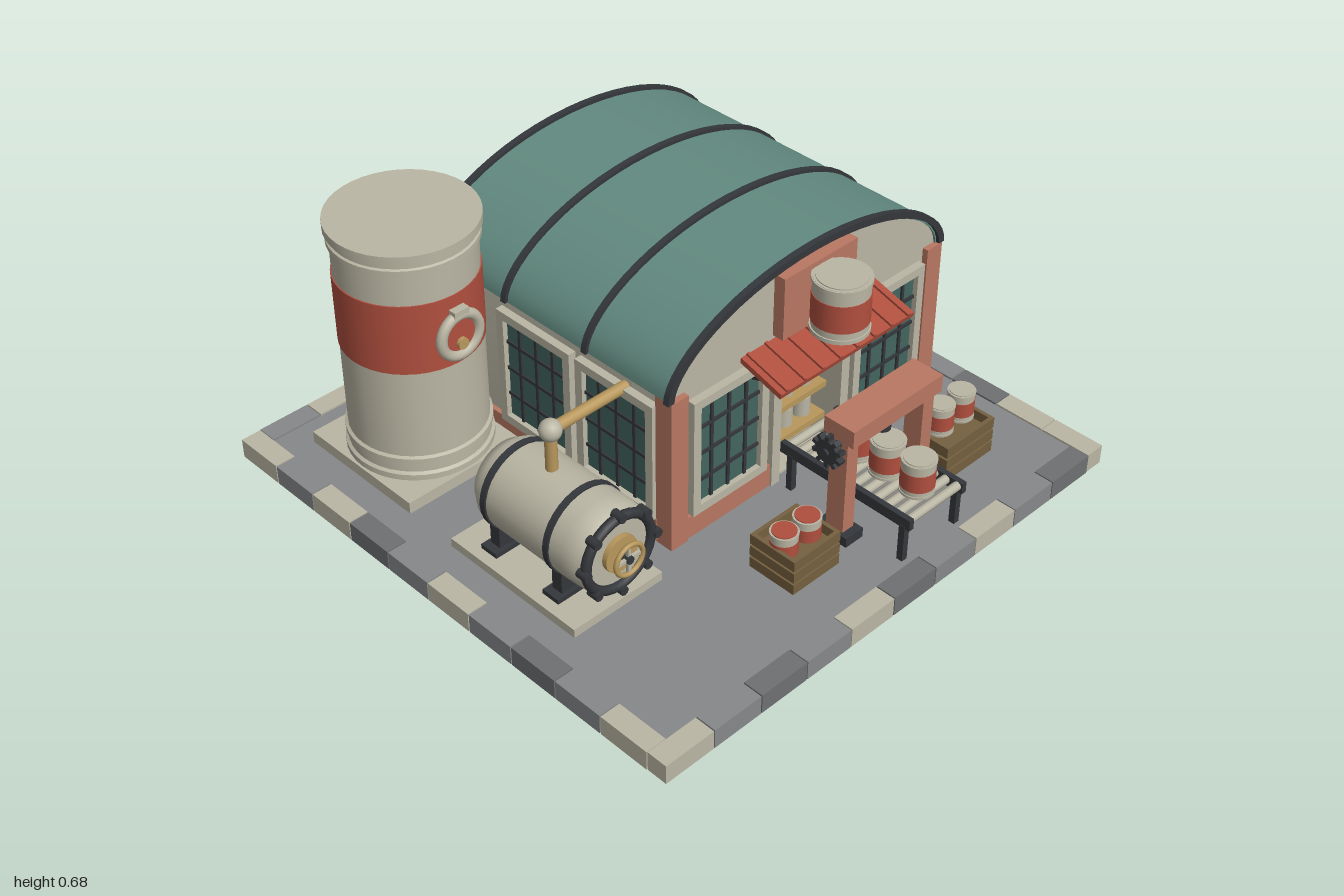
import * as THREE from 'three';
import { toCreasedNormals } from 'three/addons/utils/BufferGeometryUtils.js';

const mat = (name, color, side = THREE.FrontSide) => {
  const m = new THREE.MeshStandardMaterial({ color, side });
  m.name = name;
  return m;
};

export function createModel() {
  const cream = mat('cream', 0xbab6a4), teal = mat('teal', 0x628a80), red = mat('red', 0xb04f3e),
    brick = mat('brick', 0xb87862), dark = mat('iron', 0x34373b), wood = mat('dark wood', 0x75603f),
    tan = mat('tan', 0xb8975c), gray = mat('paving gray', 0x868889), slate = mat('dark stone', 0x6e7071),
    glass = mat('glass', 0x42645f);

  const model = new THREE.Group();
  model.name = 'factory';
  const site = new THREE.Group(); // everything is built square, then turned 45 degrees
  site.name = 'site';
  site.rotation.y = Math.PI / 4;
  model.add(site);

  const group = (name, x = 0, y = 0, z = 0, ry = 0, parent = site) => {
    const g = new THREE.Group();
    g.name = name;
    g.position.set(x, y, z);
    g.rotation.y = ry;
    parent.add(g);
    return g;
  };
  const add = (parent, name, geo, m, x = 0, y = 0, z = 0) => {
    const mesh = new THREE.Mesh(geo, m);
    mesh.name = name;
    mesh.position.set(x, y, z);
    parent.add(mesh);
    return mesh;
  };
  const box = (p, name, m, w, h, d, x, y, z) => add(p, name, new THREE.BoxGeometry(w, h, d), m, x, y, z);
  const cyl = (p, name, m, r, h, x, y, z, seg = 24) => add(p, name, new THREE.CylinderGeometry(r, r, h, seg), m, x, y, z);
  const lathe = (pts, seg) => toCreasedNormals(
    new THREE.LatheGeometry(pts.map(([r, y]) => new THREE.Vector2(r, y)), seg), 0.6);

  // Paved base with a stone border
  box(site, 'floor', gray, 1.32, 0.045, 1.32, 0, 0.0225, 0);
  for (let s = 0; s < 4; s++) {
    const side = group('border', 0, 0, 0, s * Math.PI / 2);
    const n = 10, L = 1.414 - 0.052;
    for (let i = 0; i < n; i++) {
      const m = [cream, gray, slate, gray, cream, slate, gray][(i + s * 3 * (i > 0 ? 1 : 0)) % 7];
      box(side, 'borderStone', m, L / n - 0.003, 0.05, 0.052, -0.707 + (i + 0.5) * L / n, 0.025, 0.681);
    }
  }

  // Hall: barrel-vaulted body with a recessed doorway
  const CX = 0.177, SPRING = 0.45;
  const arch = (hw, rise, n = 28) => Array.from({ length: n + 1 }, (_, i) => {
    const a = i / n * Math.PI;
    return new THREE.Vector2(hw * Math.cos(a), SPRING + rise * Math.pow(Math.max(0, Math.sin(a)), 1.1));
  });
  const extrude = (shape, depth, crease = 0.4) =>
    toCreasedNormals(new THREE.ExtrudeGeometry(shape, { depth, bevelEnabled: false }), crease);
  const gable = () => new THREE.Shape([new THREE.Vector2(-0.425, 0.045), new THREE.Vector2(0.425, 0.045), ...arch(0.425, 0.183)]);
  const band = (hw, rise, t) => new THREE.Shape([...arch(hw, rise), ...arch(hw - t, rise - t).reverse()]);
  const hall = group('hall', CX, 0, 0);
  add(hall, 'hallBody', extrude(gable(), 0.65), cream, 0, 0, -0.515);
  const front = gable();
  front.holes.push(new THREE.Path([[-0.1, 0.05], [-0.1, 0.39], [0.1, 0.39], [0.1, 0.05]].map(p => new THREE.Vector2(...p))));
  add(hall, 'frontWall', extrude(front, 0.115), cream, 0, 0, 0.135);
  add(hall, 'roof', extrude(band(0.436, 0.193, 0.014), 0.775), teal, 0, 0, -0.52);
  for (const z of [-0.53, -0.267, -0.004, 0.25])
    add(hall, 'roofRib', extrude(band(0.444, 0.202, 0.018), 0.016), dark, 0, 0, z - 0.002);

  // Brick corners and plinths
  for (const [x, z] of [[-0.41, 0.24], [0.41, 0.24], [-0.41, -0.5]])
    box(hall, 'cornerPier', brick, 0.05, 0.405, 0.05, x, 0.2475, z);
  for (const x of [-0.255, 0.255]) box(hall, 'frontPlinth', brick, 0.27, 0.06, 0.025, x, 0.08, 0.252);
  box(hall, 'sidePlinth', brick, 0.02, 0.06, 0.7, -0.427, 0.08, -0.13);

  // Paned windows
  const window_ = (x, z, ry, w = 0.21) => {
    const g = group('window', x, 0.265, z, ry, hall), h = 0.29;
    box(g, 'glass', glass, w, h, 0.008, 0, 0, 0.003);
    for (const s of [-1, 1]) {
      box(g, 'frameSide', cream, 0.022, h + 0.02, 0.024, s * w / 2, 0, 0.008);
      box(g, 'frameRail', cream, w + 0.022, 0.022, 0.024, 0, s * h / 2, 0.008);
    }
    for (const i of [-1, 0, 1]) box(g, 'mullion', dark, 0.008, h, 0.008, i * w / 4, 0, 0.008);
    for (const i of [-1, 0, 1]) box(g, 'glazingBar', dark, w, 0.008, 0.008, 0, i * h / 4, 0.008);
  };
  window_(-0.257, 0.25, 0);
  window_(0.257, 0.25, 0);
  window_(-0.425, 0.095, -Math.PI / 2, 0.22);
  window_(-0.425, -0.165, -Math.PI / 2, 0.22);

  // Doorway with stocked shelves
  box(hall, 'doorBack', wood, 0.2, 0.34, 0.008, 0, 0.22, 0.14);
  for (const s of [-1, 1]) box(hall, 'doorJamb', cream, 0.026, 0.36, 0.03, s * 0.112, 0.23, 0.255);
  box(hall, 'doorLintel', cream, 0.25, 0.026, 0.03, 0, 0.402, 0.255);
  for (const y of [0.11, 0.2, 0.29]) {
    box(hall, 'shelf', tan, 0.2, 0.016, 0.08, 0, y, 0.185);
    for (const x of [-0.06, 0, 0.06]) cyl(hall, 'shelfTin', cream, 0.023, 0.05, x, y + 0.033, 0.185, 14);
  }

  // Awning, sign board and tin
  const awning = group('awning', 0, 0.428, 0.31, 0, hall);
  awning.rotation.x = 0.28;
  box(awning, 'awningSheet', red, 0.43, 0.014, 0.125, 0, 0, 0);
  for (let i = 0; i < 8; i++) box(awning, 'awningSeam', red, 0.008, 0.008, 0.125, -0.196 + i * 0.056, 0.009, 0);
  for (const s of [-1, 1]) {
    const strut = box(hall, 'awningBracket', dark, 0.01, 0.01, 0.11, s * 0.18, 0.4, 0.295);
    strut.rotation.x = -0.35;
  }
  box(hall, 'signBoard', brick, 0.23, 0.16, 0.03, 0, 0.54, 0.265);

  // Banded tin, standing on y = 0 of its group
  const can = (parent, x, y, z, r, h, lid = cream) => {
    const g = group('tin', x, y, z, 0, parent);
    cyl(g, 'tinBody', cream, r * 0.95, h * 0.96, 0, h / 2, 0);
    cyl(g, 'tinLabel', red, r * 0.98, h * 0.5, 0, h * 0.45, 0);
    for (const k of [0.04, 0.94]) cyl(g, 'tinRim', cream, r, h * 0.07, 0, h * k, 0);
    cyl(g, 'tinLid', lid, r * 0.86, 0.004, 0, h * 0.985, 0);
  };
  can(hall, 0, 0.47, 0.34, 0.068, 0.14);

  // Tall storage tank
  const tank = group('storageTank', -0.41, 0, -0.41);
  box(tank, 'tankPad', cream, 0.355, 0.03, 0.355, 0, 0.06, 0);
  add(tank, 'tankBody', lathe([[0, 0.07], [0.172, 0.07], [0.172, 0.09], [0.165, 0.095], [0.165, 0.12], [0.17, 0.122],
    [0.17, 0.134], [0.163, 0.138], [0.163, 0.63], [0.17, 0.632], [0.17, 0.645], [0.165, 0.648], [0.165, 0.66],
    [0.174, 0.662], [0.174, 0.684], [0, 0.684]], 40), cream);
  cyl(tank, 'tankBand', red, 0.166, 0.18, 0, 0.46, 0, 40);
  const badge = group('gauge', 0, 0.45, 0.175, 0, tank);
  add(badge, 'gaugeRing', new THREE.TorusGeometry(0.052, 0.013, 10, 28), cream);
  const backing = cyl(badge, 'gaugeFace', red, 0.05, 0.02, 0, 0, -0.008);
  backing.rotation.x = Math.PI / 2;
  box(badge, 'gaugeCap', cream, 0.04, 0.02, 0.02, 0, 0.06, 0.002);
  cyl(badge, 'gaugePin', tan, 0.014, 0.02, 0, -0.02, 0.002, 12).rotation.x = Math.PI / 2;

  // Horizontal boiler on saddles
  const boiler = group('boiler', -0.463, 0, 0.115);
  box(boiler, 'boilerPad', cream, 0.255, 0.025, 0.4, 0, 0.055, 0);
  const shell = group('boilerShell', 0, 0.207, 0.01, 0, boiler);
  shell.rotation.x = Math.PI / 2;
  add(shell, 'boilerDrum', lathe([[0, -0.19], [0.05, -0.186], [0.085, -0.17], [0.104, -0.14], [0.106, -0.1],
    [0.106, 0.13], [0.104, 0.17], [0.09, 0.19], [0, 0.19]], 32), cream);
  for (const y of [-0.115, 0.085]) cyl(shell, 'boilerHoop', dark, 0.11, 0.016, 0, y, 0, 32);
  add(shell, 'hatchRing', new THREE.TorusGeometry(0.092, 0.012, 8, 32), dark, 0, 0.192, 0).rotation.x = Math.PI / 2;
  for (let i = 0; i < 8; i++) {
    const a = i * Math.PI / 4;
    cyl(shell, 'hatchBolt', dark, 0.011, 0.03, 0.1 * Math.cos(a), 0.195, 0.1 * Math.sin(a), 8);
  }
  cyl(shell, 'hatchDoor', tan, 0.045, 0.016, 0, 0.195, 0, 20);
  add(shell, 'handwheel', new THREE.TorusGeometry(0.038, 0.006, 8, 24), tan, 0, 0.225, 0).rotation.x = Math.PI / 2;
  for (const a of [0, Math.PI / 2]) box(shell, 'wheelSpoke', cream, 0.074, 0.008, 0.008, 0, 0.222, 0).rotation.y = a;
  cyl(shell, 'wheelHub', dark, 0.01, 0.04, 0, 0.21, 0, 10);
  for (const z of [-0.105, 0.095]) {
    box(boiler, 'saddle', dark, 0.16, 0.07, 0.03, 0, 0.1, z);
    box(boiler, 'saddleFoot', dark, 0.2, 0.012, 0.05, 0, 0.073, z);
  }
  cyl(boiler, 'steamRiser', tan, 0.014, 0.12, 0, 0.36, 0, 14);
  add(boiler, 'pipeElbow', new THREE.SphereGeometry(0.026, 16, 12), cream, 0, 0.415, 0);
  cyl(boiler, 'steamPipe', tan, 0.014, 0.22, 0.11, 0.415, 0, 14).rotation.z = Math.PI / 2;

  // Roller conveyor carrying tins
  const belt = group('conveyor', 0.173, 0, 0.46);
  for (const s of [-1, 1]) {
    box(belt, 'conveyorRail', dark, 0.014, 0.028, 0.38, s * 0.088, 0.152, 0);
    for (const z of [-0.16, 0.17]) box(belt, 'conveyorLeg', dark, 0.016, 0.1, 0.016, s * 0.088, 0.094, z);
  }
  for (let i = 0; i < 12; i++)
    cyl(belt, 'roller', cream, 0.011, 0.17, 0, 0.155, -0.176 + i * 0.032, 10).rotation.z = Math.PI / 2;
  for (const z of [-0.045, 0.04, 0.128]) can(belt, 0, 0.166, z, 0.041, 0.09);

  // Press gantry with drive gear
  const gantry = group('gantry', 0.173, 0, 0.48);
  box(gantry, 'gantryBeam', brick, 0.29, 0.045, 0.085, 0, 0.342, 0);
  for (const s of [-1, 1]) {
    box(gantry, 'gantryPost', brick, 0.035, 0.27, 0.05, s * 0.125, 0.19, 0);
    box(gantry, 'gantryFoot', dark, 0.055, 0.025, 0.09, s * 0.125, 0.06, 0);
  }
  cyl(gantry, 'pressRam', dark, 0.02, 0.05, 0, 0.3, 0, 14);
  const gear = group('gear', -0.175, 0.31, 0, 0, gantry);
  cyl(gear, 'gearDisc', dark, 0.03, 0.018, 0, 0, 0, 20).rotation.z = Math.PI / 2;
  cyl(gear, 'gearAxle', dark, 0.009, 0.07, 0.02, 0, 0, 10).rotation.z = Math.PI / 2;
  for (let i = 0; i < 10; i++) {
    const a = i * Math.PI / 5;
    box(gear, 'gearTooth', dark, 0.018, 0.014, 0.01, 0, 0.034 * Math.cos(a), 0.034 * Math.sin(a)).rotation.x = a;
  }

  // Slatted crates of tins
  const crate = (x, z, w, d, h, canY, lid) => {
    const g = group('crate', x, 0.045, z);
    box(g, 'crateCore', wood, w - 0.016, h - 0.025, d - 0.016, 0, (h - 0.025) / 2, 0);
    for (const s of [-1, 1]) for (const k of [0.18, 0.52, 0.86]) {
      box(g, 'crateSlat', wood, w, h * 0.28, 0.01, 0, h * k, s * (d / 2 - 0.005));
      box(g, 'crateSlat', wood, 0.01, h * 0.28, d, s * (w / 2 - 0.005), h * k, 0);
    }
    for (const s of [-1, 1]) can(g, s * 0.036, canY, 0, 0.033, 0.075, lid);
  };
  crate(-0.1, 0.483, 0.145, 0.13, 0.095, 0.05, red);
  crate(0.428, 0.47, 0.165, 0.13, 0.1, 0.097, cream);

  return model;
}
